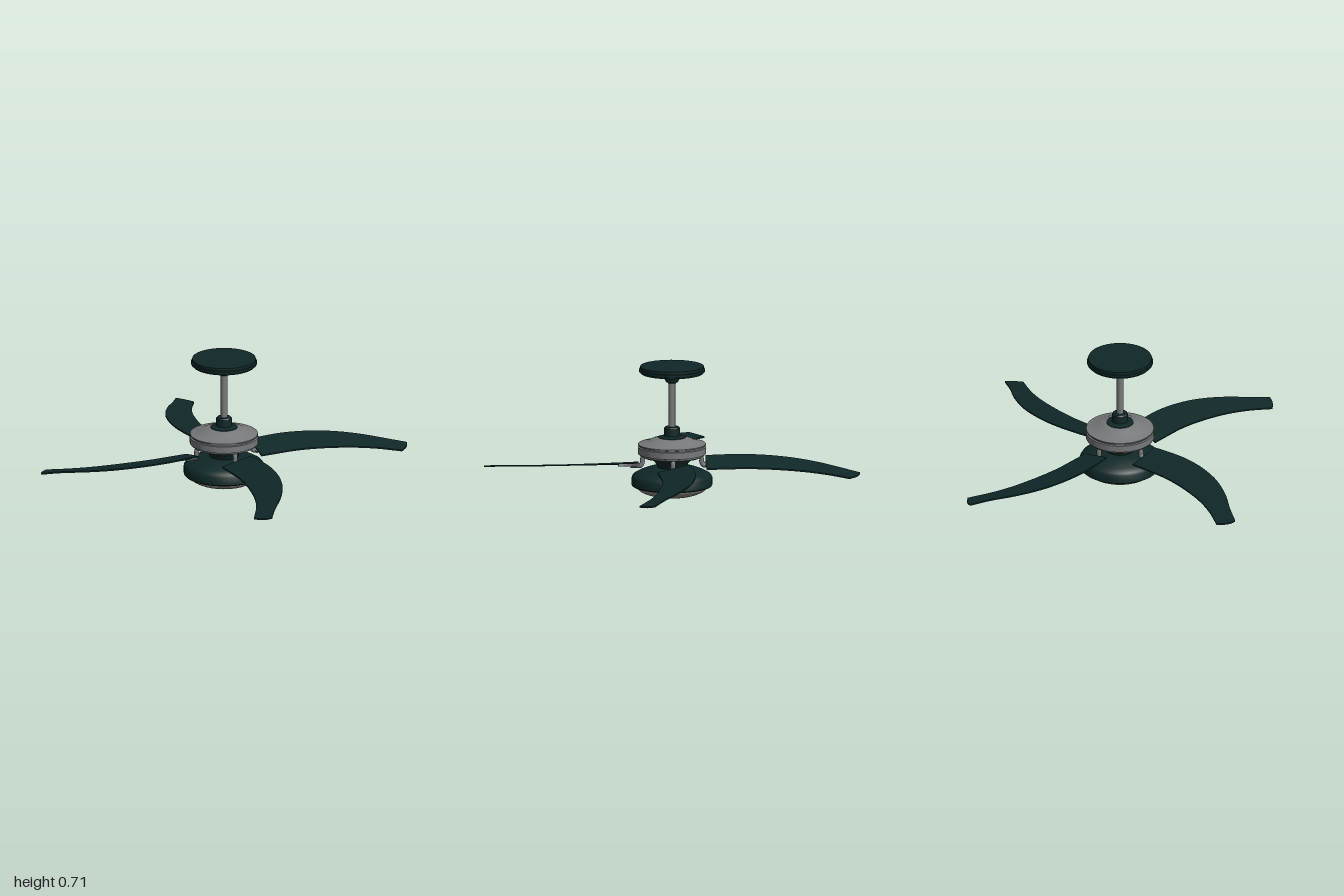
import * as THREE from 'three';
import { toCreasedNormals } from 'three/addons/utils/BufferGeometryUtils.js';

const mat = (name, color) => new THREE.MeshStandardMaterial({ name, color });

export function createModel() {
  const green = mat('dark green', 0x102828);
  const metal = mat('brushed grey', 0x77797b);
  const glass = mat('lamp glass', 0x8f8c88);

  const fan = new THREE.Group();
  fan.name = 'ceilingFan';

  const add = (parent, name, geometry, material) => {
    const mesh = new THREE.Mesh(geometry, material);
    mesh.name = name;
    parent.add(mesh);
    return mesh;
  };
  // Turned part from [radius, height] pairs, listed bottom to top
  const turned = (name, profile, material) => {
    const pts = profile.map(([r, y]) => new THREE.Vector2(r, y));
    return add(fan, name, toCreasedNormals(new THREE.LatheGeometry(pts, 48), 0.6), material);
  };

  // Ceiling mount and rod
  turned('canopy', [[0, 0.655], [0.06, 0.655], [0.11, 0.66], [0.165, 0.669], [0.168, 0.677],
    [0.175, 0.679], [0.175, 0.692], [0.169, 0.694], [0.169, 0.708], [0, 0.708]], green);
  turned('canopyCollar', [[0, 0.617], [0.024, 0.617], [0.034, 0.625], [0.04, 0.638],
    [0.04, 0.66], [0, 0.66]], green);
  turned('downRod', [[0.018, 0.34], [0.018, 0.63]], metal);
  turned('rodCoupling', [[0, 0.315], [0.072, 0.315], [0.072, 0.325], [0.042, 0.332],
    [0.042, 0.372], [0.036, 0.38], [0, 0.38]], green);

  // Motor housing with raised rims
  turned('motorHousing', [[0, 0.215], [0.125, 0.215], [0.155, 0.218], [0.172, 0.226],
    [0.174, 0.234], [0.182, 0.236], [0.182, 0.272], [0.173, 0.274], [0.173, 0.28],
    [0.18, 0.282], [0.18, 0.288], [0.165, 0.291], [0.13, 0.301], [0.105, 0.313],
    [0.075, 0.322], [0, 0.322]], metal);
  turned('neck', [[0.075, 0.15], [0.08, 0.175], [0.105, 0.205], [0.112, 0.22], [0, 0.22]], green);

  // Lamp
  turned('lampHousing', [[0, 0.06], [0.208, 0.06], [0.214, 0.066], [0.214, 0.108],
    [0.206, 0.121], [0.18, 0.136], [0.14, 0.152], [0.11, 0.162], [0, 0.165]], green);
  const dome = [];
  for (let i = 0; i <= 12; i++) {
    const a = (i / 12) * Math.PI / 2;
    dome.push([0.19 * Math.sin(a), 0.062 - 0.06 * Math.cos(a) - 0.002 * (1 - i / 12)]);
  }
  turned('lampGlass', dome, glass);

  // Four blades with their arms
  const bladeGeo = bladeGeometry();
  const armPath = new THREE.CatmullRomCurve3([[0.13, 0.225], [0.15, 0.222], [0.157, 0.205],
    [0.158, 0.185], [0.168, 0.171], [0.19, 0.169], [0.22, 0.17]]
    .map(([x, y]) => new THREE.Vector3(x, y, 0)));
  const armGeo = new THREE.TubeGeometry(armPath, 24, 0.013, 10);
  for (let i = 0; i < 4; i++) {
    const unit = new THREE.Group();
    unit.name = 'bladeUnit';
    unit.rotation.y = i * Math.PI / 2;
    add(unit, 'blade', bladeGeo, green);
    add(unit, 'bladeArm', armGeo, metal);
    const plate = add(unit, 'bladePlate', new THREE.BoxGeometry(0.11, 0.012, 0.05), metal);
    plate.position.set(0.23, 0.172, 0);
    plate.rotation.x = 0.24;
    fan.add(unit);
  }
  return fan;
}

// Swept blade: cross-sections between two edge curves, drooping and pitched
function bladeGeometry() {
  const curve = (pts) => new THREE.CatmullRomCurve3(pts.map(([x, z]) => new THREE.Vector3(x, 0, z)));
  const back = curve([[0.18, -0.08], [0.29, -0.1], [0.4, -0.11], [0.53, -0.1], [0.66, -0.067],
    [0.79, -0.003], [0.9, 0.073], [0.995, 0.13]]);
  const front = curve([[0.18, 0.085], [0.29, 0.075], [0.4, 0.068], [0.51, 0.074], [0.62, 0.09],
    [0.72, 0.113], [0.82, 0.15], [0.935, 0.21]]);
  const droop = (x) => 0.184 - 0.075 * Math.pow(Math.max(0, (x - 0.3) / 0.7), 2) * 0.65;
  const N = 28, M = 6, half = 0.004, loop = 2 * (M + 1);
  const pos = [], idx = [];
  for (let i = 0; i <= N; i++) {
    const t = i / N, a = back.getPoint(t), b = front.getPoint(t);
    const pitch = 0.04 - 0.02 * t * t;
    for (let j = 0; j < loop; j++) {
      const top = j <= M, v = (top ? j : loop - 1 - j) / M;
      const p = a.clone().lerp(b, v);
      // slightly rounded tip
      p.x += 0.012 * Math.sin(Math.PI * v) * Math.pow(t, 8);
      pos.push(p.x, droop(p.x) + pitch * (0.5 - v) + (top ? half : -half), p.z);
    }
  }
  for (let i = 0; i < N; i++) {
    for (let j = 0; j < loop; j++) {
      const k = (j + 1) % loop, p = i * loop, q = p + loop;
      idx.push(p + j, p + k, q + j, p + k, q + k, q + j);
    }
  }
  // End caps
  for (let j = 0; j < M; j++) {
    const o = loop - 1 - j, e = N * loop;
    idx.push(e + j, e + j + 1, e + o, e + j + 1, e + o - 1, e + o);
    idx.push(j, o, j + 1, j + 1, o, o - 1);
  }
  const g = new THREE.BufferGeometry();
  g.setAttribute('position', new THREE.Float32BufferAttribute(pos, 3));
  g.setIndex(idx);
  return toCreasedNormals(g, 0.7);
}
